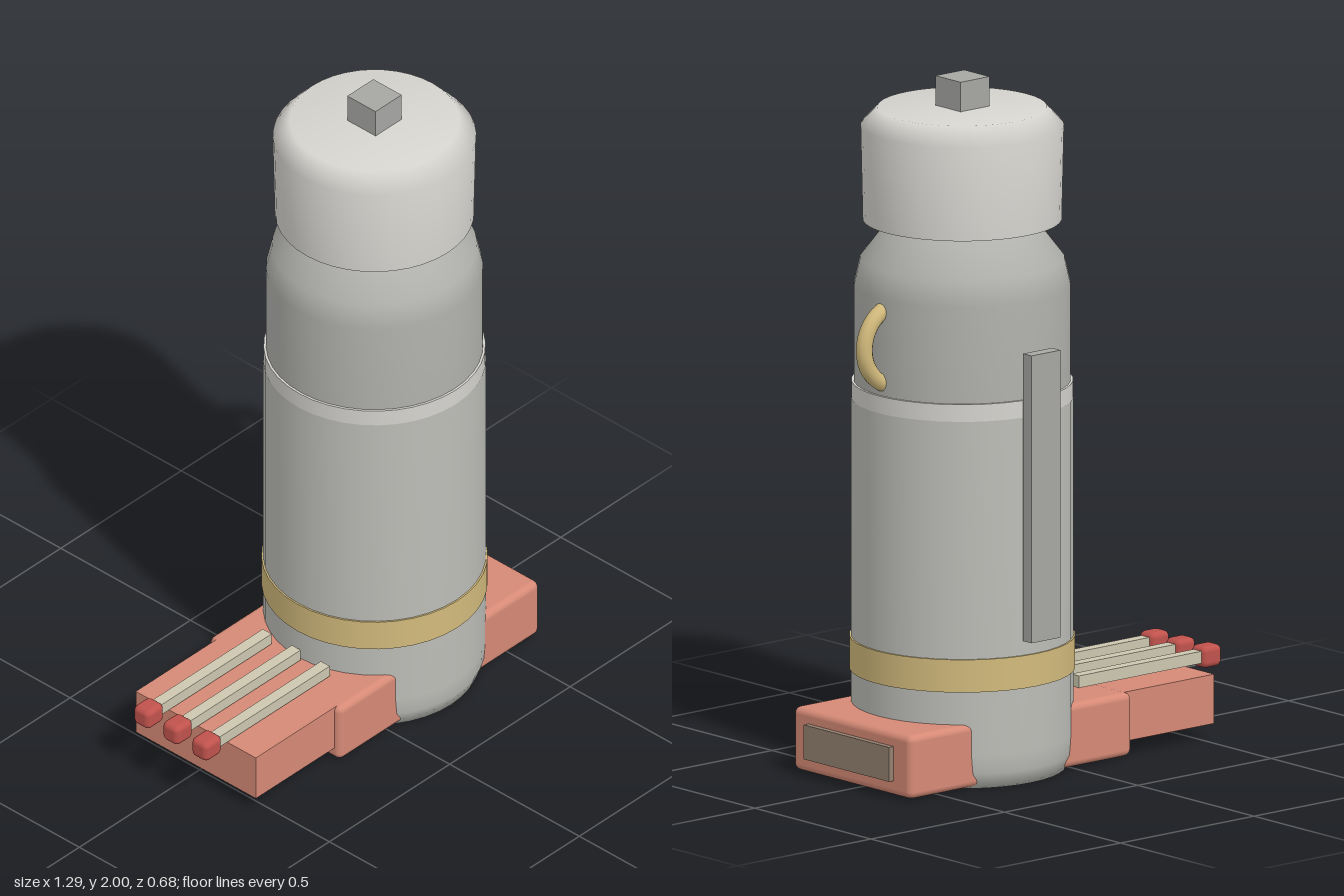
import * as THREE from 'three';
import { RoundedBoxGeometry } from 'three/addons/geometries/RoundedBoxGeometry.js';

const CX = 0.208, CZ = 0.017; // axis of the bottle

function material(name, color) {
  const m = new THREE.MeshStandardMaterial({ color });
  m.name = name;
  return m;
}

export function createModel() {
  const group = new THREE.Group();
  const bodyGrey = material('body grey', 0xbcbcb7);
  const upperGrey = material('upper grey', 0xb0b1ac);
  const paleGrey = material('pale grey', 0xd6d4cf);
  const trimGrey = material('trim grey', 0xa6a7a3);
  const brass = material('brass', 0xd2ba7c);
  const salmon = material('salmon', 0xd68a76);
  const plaqueBrown = material('plaque brown', 0x94806f);
  const cream = material('cream', 0xcdc7b0);
  const red = material('red', 0xc0524c);

  function add(name, geometry, mat, x = 0, y = 0, z = 0) {
    const mesh = new THREE.Mesh(geometry, mat);
    mesh.name = name;
    mesh.position.set(x, y, z);
    group.add(mesh);
    return mesh;
  }
  // Box from its lower and upper corners, optionally rounded
  function box(name, mat, [x0, y0, z0], [x1, y1, z1], radius = 0) {
    const size = [x1 - x0, y1 - y0, z1 - z0];
    const geometry = radius
      ? new RoundedBoxGeometry(...size, 3, radius)
      : new THREE.BoxGeometry(...size);
    return add(name, geometry, mat, (x0 + x1) / 2, (y0 + y1) / 2, (z0 + z1) / 2);
  }
  // Turned part on the bottle axis, profile from bottom to top
  function turned(name, mat, profile) {
    const points = profile.map(([r, y]) => new THREE.Vector2(r, y));
    return add(name, new THREE.LatheGeometry(points, 40), mat, CX, 0, CZ);
  }

  // Bottle
  turned('lowerBody', bodyGrey, [
    [0, 0], [0.295, 0], [0.312, 0.045], [0.315, 0.1], [0.315, 1.07], [0.3, 1.07]]);
  turned('upperBody', upperGrey, [
    [0.307, 1.07], [0.307, 1.4], [0.29, 1.475], [0.225, 1.56], [0.185, 1.59]]);
  turned('band', brass, [[0.32, 0.285], [0.32, 0.38]]).geometry =
    new THREE.CylinderGeometry(0.32, 0.32, 0.095, 40).translate(0, 0.3325, 0);
  add('collar', new THREE.CylinderGeometry(0.314, 0.314, 0.05, 40), paleGrey, CX, 1.095, CZ);

  // Cap with a separate underside so its lower rim stays sharp
  turned('cap', paleGrey, [
    [0.282, 1.587], [0.288, 1.86], [0.24, 1.912], [0, 1.915]]);
  turned('capUnderside', paleGrey, [[0, 1.587], [0.282, 1.587]]);
  box('capKnob', trimGrey, [0.153, 1.9, -0.037], [0.261, 2, 0.072]);

  // Ring handle, half sunk in the bottle
  add('handle', new THREE.TorusGeometry(0.115, 0.024, 12, 40), brass, 0.46, 1.26, CZ);

  // Bar behind the bottle
  box('backBar', trimGrey, [0.153, 0.425, -0.343], [0.261, 1.26, -0.306]);

  // Base, side tray and plaque
  box('base', salmon, [-0.21, 0.006, -0.237], [0.623, 0.19, 0.271], 0.02);
  box('tray', salmon, [-0.536, 0.045, -0.213], [-0.19, 0.188, 0.25]);
  box('plaque', plaqueBrown, [0.615, 0.05, -0.165], [0.641, 0.15, 0.202]);

  // Three sticks with red tips
  for (const offset of [-0.112, 0, 0.112]) {
    const z = CZ + offset;
    box('stick', cream, [-0.59, 0.195, z - 0.017], [-0.117, 0.23, z + 0.017]);
    box('stickTip', red, [-0.645, 0.18, z - 0.031], [-0.575, 0.243, z + 0.031], 0.017);
  }
  return group;
}
